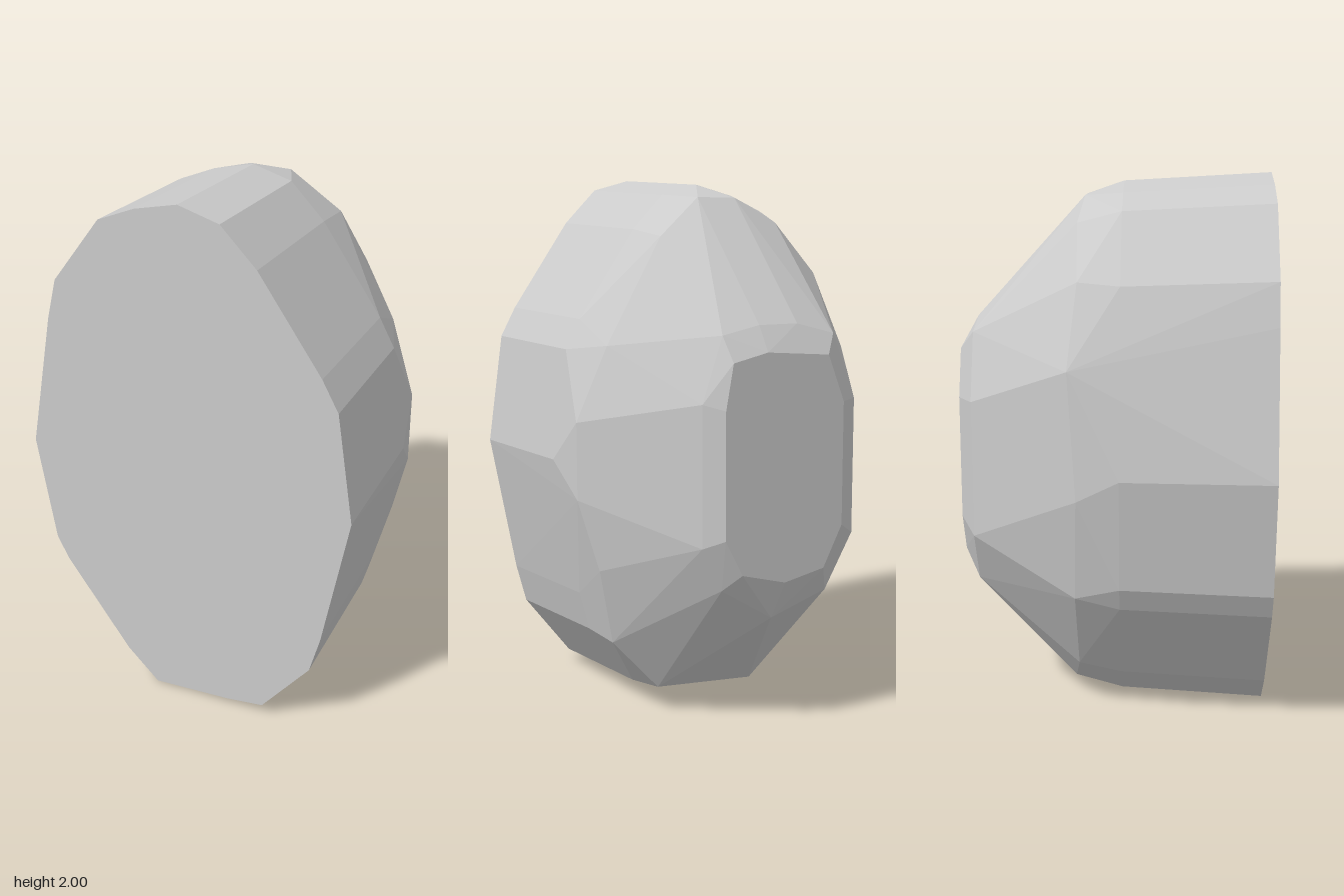
import * as THREE from 'three';
import { ConvexGeometry } from 'three/addons/geometries/ConvexGeometry.js';

// Outline of the flat front face, clockwise from the top
const outline = [
  [0, 2], [0.15, 1.96], [0.28, 1.83], [0.51, 1.5], [0.57, 1.39], [0.63, 0.98], [0.53, 0.45],
  [0.49, 0.3], [0.3, 0.055], [0.15, 0.03], [-0.155, 0], [-0.28, 0.12], [-0.53, 0.47],
  [-0.575, 0.56], [-0.635, 0.98], [-0.53, 1.5], [-0.49, 1.65], [-0.3, 1.9], [-0.16, 1.96],
];

// Hand-cut rings where the sides bevel in towards the back
const shoulder = [
  [0.08, 1.92, -0.11], [0.26, 1.78, -0.15], [0.48, 1.4, -0.15], [0.585, 1.13, -0.11],
  [0.585, 0.85, -0.11], [0.52, 0.59, -0.15], [0.45, 0.3, -0.11], [0.27, 0.1, -0.13],
  [-0.13, 0.07, -0.15], [-0.27, 0.18, -0.13], [-0.5, 0.52, -0.13], [-0.585, 0.9, -0.12],
  [-0.56, 1.35, -0.15], [-0.44, 1.64, -0.12], [-0.25, 1.83, -0.13], [-0.08, 1.92, -0.11],
];
const backRim = [
  [0.08, 1.48], [0.23, 1.45], [0.31, 1.22], [0.31, 0.72], [0.23, 0.56], [0.02, 0.43],
  [-0.22, 0.5], [-0.34, 0.7], [-0.34, 1.2], [-0.24, 1.44], [-0.08, 1.48],
];
const backFace = [
  [0.08, 1.39], [0.22, 1.36], [0.25, 1.2], [0.25, 0.75], [0.18, 0.62],
  [0, 0.57], [-0.17, 0.6], [-0.25, 0.75], [-0.25, 1.2], [-0.18, 1.37],
];

export function createModel() {
  const group = new THREE.Group();
  group.name = 'rock';

  const ring = (list, z, s = 1) =>
    list.map(([x, y, pz = z]) => new THREE.Vector3(x * s, 0.99 + (y - 0.99) * s, pz));

  // Faceted stone: flat front, slightly tapered sides, bevelled back
  const stone = new THREE.Mesh(
    new ConvexGeometry([
      ...ring(outline, 0.57),
      ...ring(outline, 0.03, 0.97),
      ...ring(shoulder),
      ...ring(backRim, -0.51),
      ...ring(backFace, -0.565),
    ]),
    new THREE.MeshStandardMaterial({ color: 0xcccccc, flatShading: true }),
  );
  stone.name = 'stone';
  group.add(stone);
  return group;
}
